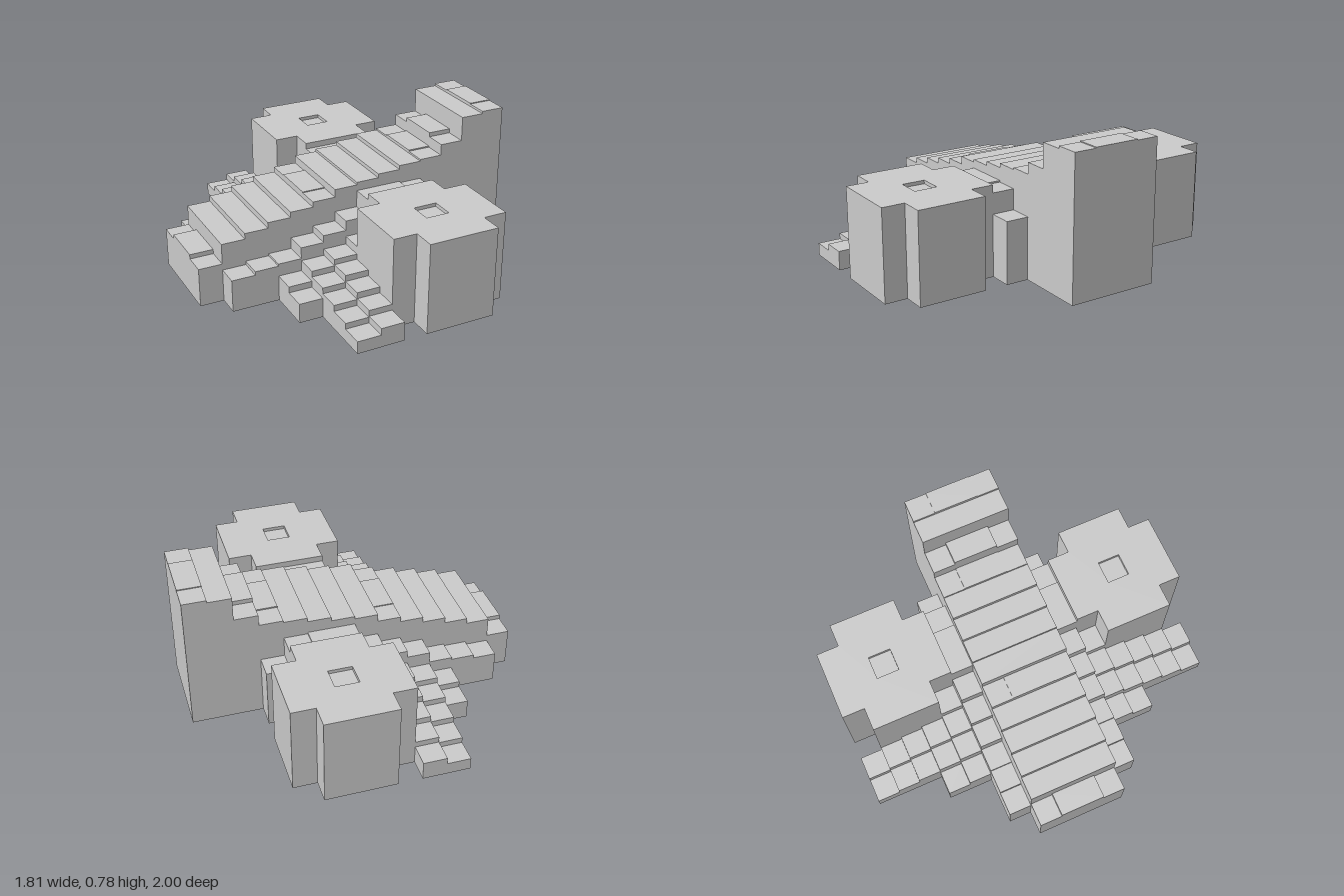
import * as THREE from 'three';

const CX = 1.808 / 14; // cell length along x
const CZ = 0.125; // cell width along z
const LEFT = -0.904;
const mat = new THREE.MeshStandardMaterial({ color: 0xcccccc, flatShading: true });

function add(group, name, geo, x = 0, y = 0, z = 0) {
  const mesh = new THREE.Mesh(geo, mat);
  mesh.name = name;
  mesh.position.set(x, y, z);
  group.add(mesh);
}

// Stepped slab: one height per cell from column "first", between z0 and z1
function steps(group, name, first, heights, z0, z1) {
  const x = (i) => LEFT + (first + i) * CX;
  const s = new THREE.Shape();
  s.moveTo(x(0), 0);
  s.lineTo(x(heights.length), 0);
  for (let i = heights.length - 1; i >= 0; i--) {
    s.lineTo(x(i + 1), heights[i]);
    s.lineTo(x(i), heights[i]);
  }
  s.closePath();
  add(group, name, new THREE.ExtrudeGeometry(s, { depth: z1 - z0, bevelEnabled: false }), 0, 0, z0);
}

// Notched tower plan with a square well in its roof
function towerGeometry(height) {
  const a = 1.5 * CX, b = 2.5 * CX, c = 1.5 * CZ, d = 2.5 * CZ;
  const plan = [
    [-a, -d], [a, -d], [a, -c], [b, -c], [b, c], [a, c],
    [a, d], [-a, d], [-a, c], [-b, c], [-b, -c], [-a, -c],
  ].map(([x, y]) => new THREE.Vector2(x, y));
  const shape = new THREE.Shape(plan);
  const hx = CX / 2, hz = CZ / 2;
  shape.holes.push(new THREE.Path([
    new THREE.Vector2(-hx, -hz), new THREE.Vector2(-hx, hz),
    new THREE.Vector2(hx, hz), new THREE.Vector2(hx, -hz),
  ]));
  return new THREE.ExtrudeGeometry(shape, { depth: height, bevelEnabled: false }).rotateX(-Math.PI / 2);
}

export function createModel() {
  const root = new THREE.Group();
  root.name = 'steppedBuilding';

  // Central ramp rising to the tall end
  steps(root, 'centralRamp', 0,
    [0.215, 0.328, 0.36, 0.393, 0.424, 0.454, 0.498, 0.513, 0.535, 0.558, 0.568, 0.63, 0.765, 0.778],
    -2 * CZ, 2 * CZ);

  // Slightly raised tiles along the middle of the ramp
  for (const [col, base, top] of [[0, 0.2, 0.24], [5, 0.44, 0.459], [10, 0.55, 0.575], [11, 0.6, 0.654], [13, 0.76, 0.783]]) {
    add(root, 'raisedTile', new THREE.BoxGeometry(CX, top - base, 2 * CZ),
      LEFT + (col + 0.5) * CX, (base + top) / 2, 0);
  }

  // Rows of stairs from the ramp outwards: first column and heights
  const rows = [
    [1, [0.18, 0.2, 0.212, 0.275, 0.315, 0.37, 0.465, 0.465, 0.456, 0.342]],
    [3, [0.142, 0.2, 0.236, 0.28]],
    [3, [0.108, 0.167, 0.206]],
    [4, [0.134, 0.172]],
    [4, [0.1, 0.138]],
    [4, [0.068, 0.105]],
  ];

  for (const side of [1, -1]) {
    const wing = new THREE.Group();
    wing.name = side > 0 ? 'frontWing' : 'backWing';
    rows.forEach(([first, heights], i) => {
      const inner = (2 + i) * CZ, outer = inner + CZ;
      steps(wing, i === 0 ? 'flank' : 'stairRow', first, heights,
        side > 0 ? inner : -outer, side > 0 ? outer : -inner);
    });
    const x = 1.5 * CX, z = side * 5.5 * CZ;
    add(wing, 'tower', towerGeometry(0.499), x, 0, z);
    add(wing, 'roofWellFloor', new THREE.BoxGeometry(CX, 0.48, CZ), x, 0.24, z);
    root.add(wing);
  }
  return root;
}
